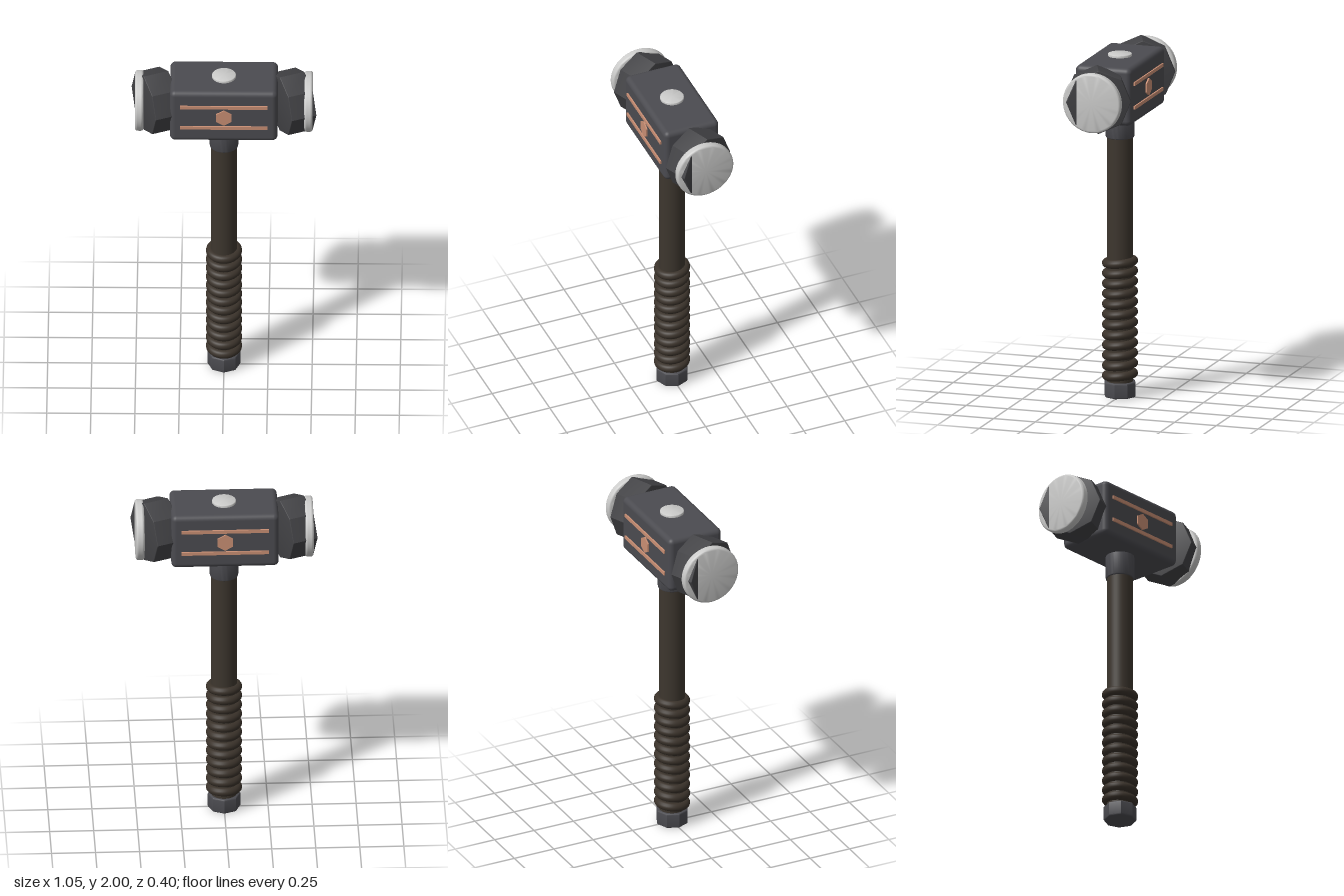
import * as THREE from 'three';
import { toCreasedNormals } from 'three/addons/utils/BufferGeometryUtils.js';
import { RoundedBoxGeometry } from 'three/addons/geometries/RoundedBoxGeometry.js';

const HEAD_Y = 1.818;

// Solid cylinder about y with rounded rims; few sides give a faceted prism
function bevelled(radius, height, bevel, sides, crease = 0.6) {
  const h = height / 2, steps = 4;
  const profile = [new THREE.Vector2(0, -h)];
  for (const end of [-1, 1]) {
    for (let i = 0; i <= steps; i++) {
      const a = (end < 0 ? i - steps : i) / steps * Math.PI / 2;
      profile.push(new THREE.Vector2(
        radius - bevel + bevel * Math.cos(a),
        end * (h - bevel) + bevel * Math.sin(a)));
    }
  }
  profile.push(new THREE.Vector2(0, h));
  return toCreasedNormals(new THREE.LatheGeometry(profile, sides), crease);
}

export function createModel() {
  const group = new THREE.Group();
  const mat = (name, color) => {
    const m = new THREE.MeshStandardMaterial({ color });
    m.name = name;
    return m;
  };
  const iron = mat('dark iron', 0x4b4b50);
  const collarIron = mat('collar iron', 0x424245);
  const steel = mat('polished steel', 0xcbcbca);
  const copper = mat('copper', 0xc98f74);
  const wood = mat('dark wood', 0x3d362e);
  const leather = mat('leather', 0x3a322a);

  const add = (name, geometry, material, x, y, z) => {
    const mesh = new THREE.Mesh(geometry, material);
    mesh.name = name;
    mesh.position.set(x, y, z);
    group.add(mesh);
    return mesh;
  };

  // Hammer head with a steel stud on top
  add('head', new RoundedBoxGeometry(0.61, 0.335, 0.335, 4, 0.03), iron, 0, HEAD_Y, 0);
  add('topStud', bevelled(0.068, 0.03, 0.004, 40), steel, 0, 1.985, 0);

  // Tilted octagonal collars and round striking faces
  const collarGeo = bevelled(0.184, 0.152, 0.004, 8, 0.5);
  const faceGeo = bevelled(0.173, 0.048, 0.014, 48);
  for (const side of [-1, 1]) {
    const collar = add('collar', collarGeo, collarIron, side * 0.386, HEAD_Y, 0);
    collar.rotation.set(0, Math.PI / 8, Math.PI / 2);
    const face = add('strikingFace', faceGeo, steel, side * 0.48, HEAD_Y, 0);
    face.rotation.z = Math.PI / 2;
  }

  // Copper inlays on front and back
  const stripGeo = new THREE.BoxGeometry(0.496, 0.02, 0.009);
  const hexGeo = new THREE.CylinderGeometry(0.05, 0.05, 0.009, 6).toNonIndexed();
  hexGeo.computeVertexNormals();
  for (const side of [-1, 1]) {
    for (const dy of [-0.068, 0.071]) {
      add('inlayStrip', stripGeo, copper, 0, HEAD_Y + dy, side * 0.1715);
    }
    const hex = add('inlayHexagon', hexGeo, copper, 0, HEAD_Y, side * 0.1715);
    hex.rotation.x = Math.PI / 2;
  }

  // Handle and its socket
  add('socket', bevelled(0.081, 0.16, 0.006, 40), iron, 0, 1.592, 0);
  add('handle', new THREE.CylinderGeometry(0.075, 0.075, 1.48, 40), wood, 0, 0.8, 0);

  // Grip: slightly tilted rings, higher at the back
  const rings = 12;
  const ringGeo = new THREE.TorusGeometry(0.078, 0.025, 14, 48);
  for (let i = 0; i < rings; i++) {
    const ring = add('gripRing', ringGeo, leather, 0, 0.128 + i * 0.0597, 0);
    ring.rotation.x = Math.PI / 2 + 0.1;
  }

  // Octagonal pommel
  add('pommel', bevelled(0.094, 0.09, 0.01, 8, 0.5), iron, 0, 0.045, 0);

  return group;
}
